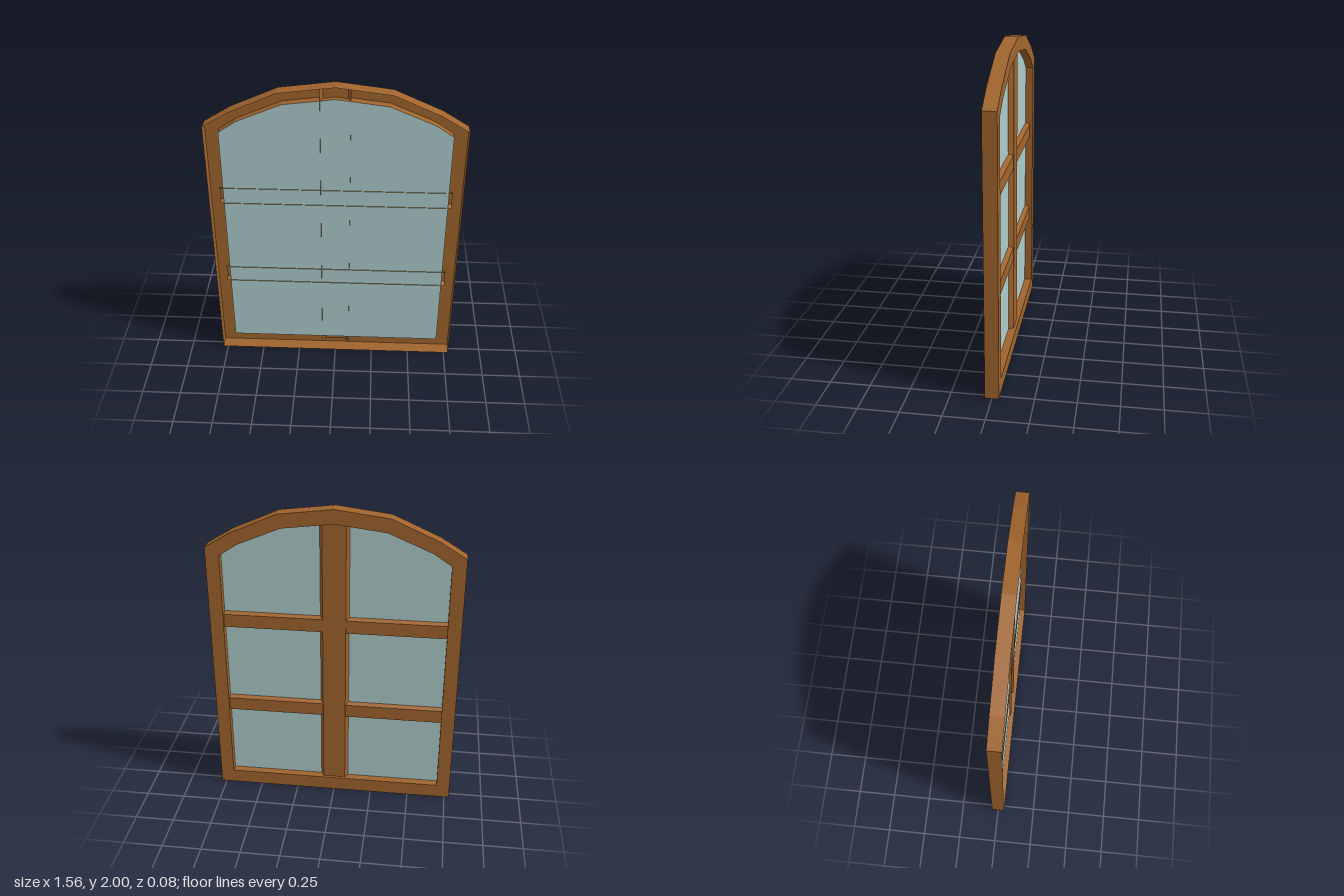
import * as THREE from 'three';

const BACK = -0.042, FRONT = 0.042, GLASS = 0.008;

// Mirror a right-hand outline (bottom corner up to the apex) into a closed loop
function mirrored(half) {
  const left = half.slice(0, -1).reverse().map(([x, y]) => [-x, y]);
  return [...half, ...left];
}

// Flat-shaded band of quads joining two rows of 3D points
function band(rowA, rowB) {
  const pos = [];
  for (let i = 0; i < rowA.length - 1; i++) {
    const a = rowA[i], b = rowA[i + 1], c = rowB[i + 1], d = rowB[i];
    pos.push(...a, ...b, ...c, ...a, ...c, ...d);
  }
  const g = new THREE.BufferGeometry();
  g.setAttribute('position', new THREE.Float32BufferAttribute(pos, 3));
  g.computeVertexNormals();
  return g;
}

// Wall following a closed outline between two depths; counter-clockwise faces outwards
function wall(outline, z0, z1) {
  const loop = [...outline, outline[0]];
  return band(loop.map(([x, y]) => [x, y, z0]), loop.map(([x, y]) => [x, y, z1]));
}

const toShape = (pts) => new THREE.Shape(pts.map(([x, y]) => new THREE.Vector2(x, y)));

export function createModel() {
  const model = new THREE.Group();
  const wood = new THREE.MeshStandardMaterial({ color: 0xa0642d, side: THREE.DoubleSide });
  wood.name = 'wood';
  const pane = new THREE.MeshStandardMaterial({ color: 0xaecccc, side: THREE.DoubleSide });
  pane.name = 'paleGlass';

  const add = (name, geometry, material, parent = model) => {
    const mesh = new THREE.Mesh(geometry, material);
    mesh.name = name;
    parent.add(mesh);
    return mesh;
  };

  const outer = mirrored([[0.782, 0], [0.782, 1.73], [0.62, 1.83], [0.335, 1.957], [0, 2]]);
  const inner = mirrored([[0.696, 0.093], [0.696, 1.68], [0.585, 1.755], [0.315, 1.87], [0, 1.91]]);

  // Frame: a channel open at the front, with outer wall, inner lip and back face
  const frame = new THREE.Group();
  frame.name = 'archedFrame';
  model.add(frame);
  add('outerWall', wall(outer, BACK, FRONT), wood, frame);
  add('innerLip', wall([...inner].reverse(), BACK, GLASS), wood, frame);
  const face = toShape(outer);
  face.holes.push(toShape(inner));
  const backFace = new THREE.ShapeGeometry(face);
  backFace.rotateY(Math.PI);
  backFace.translate(0, 0, BACK);
  add('backFace', backFace, wood, frame);

  // Glass sheet filling the opening
  const sheet = new THREE.ShapeGeometry(toShape(inner));
  sheet.translate(0, 0, GLASS);
  add('glass', sheet, pane);

  // Bars: bevelled channels open at the front, profile given as [across, depth]
  const barProfile = (half, bevel, back, shoulder, front) => [
    [half, front], [half, shoulder], [half - bevel, back], [0, back],
    [bevel - half, back], [-half, shoulder], [-half, front],
  ];

  const upright = barProfile(0.09, 0.018, -0.024, 0.006, 0.024);
  add('mullion', band(
    upright.map(([a, z]) => [a, 0.045, z]),
    upright.map(([a, z]) => [a, 1.97, z]),
  ), wood);

  const rail = barProfile(0.055, 0.012, -0.022, 0.004, 0.013);
  for (const y of [0.625, 1.237]) {
    for (const side of [-1, 1]) {
      add('crossbar', band(
        rail.map(([a, z]) => [side * 0.72, y - side * a, z]),
        rail.map(([a, z]) => [0, y - side * a, z]),
      ), wood);
    }
  }
  return model;
}
